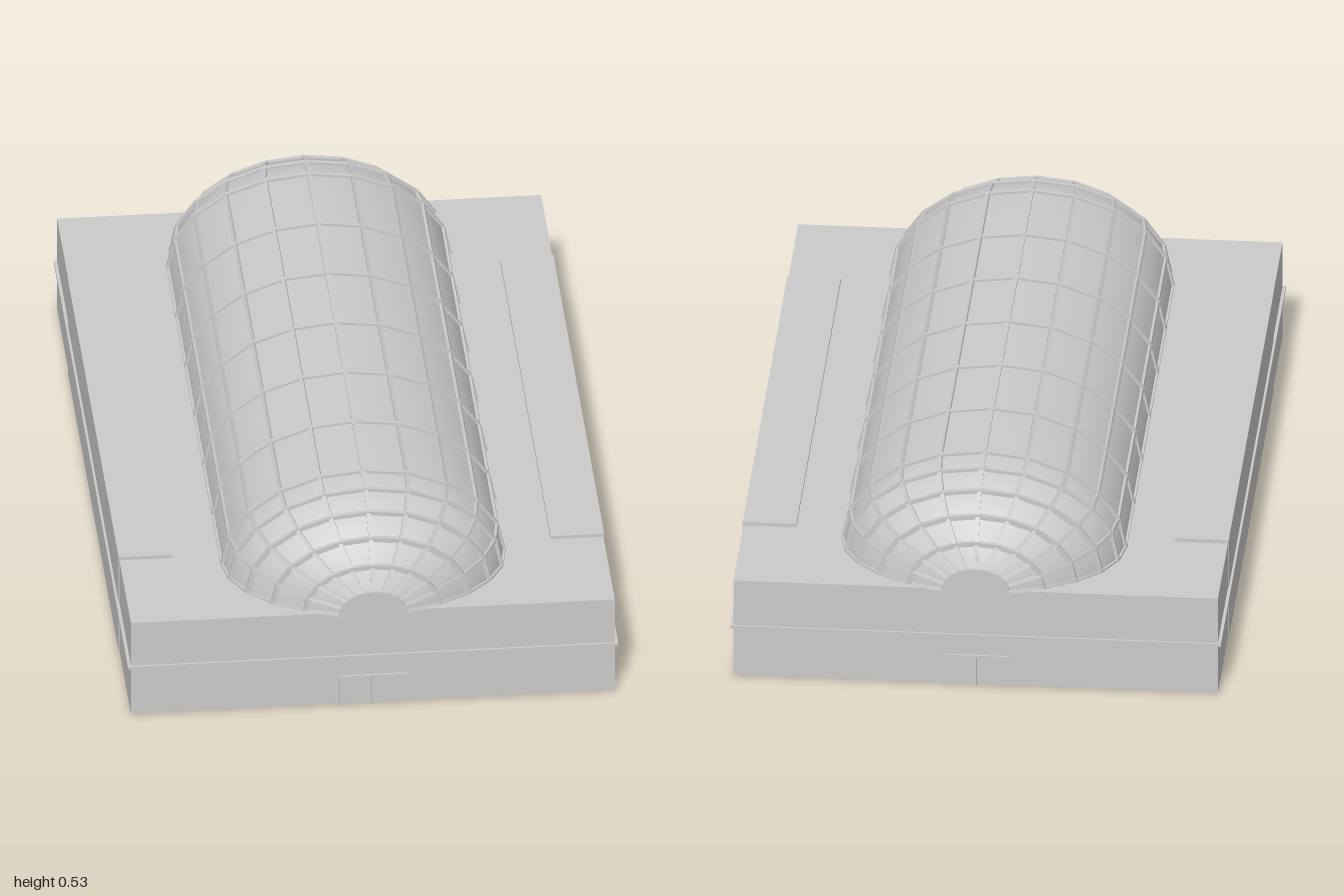
import * as THREE from 'three';
import { mergeGeometries } from 'three/addons/utils/BufferGeometryUtils.js';

const ROOF = 0.27;         // height of the flat roof
const RX = 0.357, RY = 0.254; // dome half width and rise
const BARREL = 0.728;      // half length of the straight vault
const CAP = 0.275;         // reach of the rounded ends
const SIDES = 10, CAP_STEPS = 5, CAP_ANGLE = THREE.MathUtils.degToRad(77);

const material = () => new THREE.MeshStandardMaterial({ color: 0xcccccc, side: THREE.DoubleSide });

// Stations along z: position and scale of each arched cross-section
function stations() {
  const list = [];
  const cap = (sign, k) => {
    const a = (CAP_ANGLE * k) / CAP_STEPS;
    return { z: sign * (BARREL + (CAP * 0.985 * Math.sin(a)) / Math.sin(CAP_ANGLE)), s: Math.cos(a) };
  };
  for (let k = CAP_STEPS; k > 0; k--) list.push(cap(-1, k));
  for (let k = -3; k <= 3; k++) list.push({ z: (BARREL * k) / 3, s: 1 });
  for (let k = 1; k <= CAP_STEPS; k++) list.push(cap(1, k));
  return list;
}

function archPoint({ z, s }, j) {
  const a = (Math.PI * j) / SIDES;
  return new THREE.Vector3(RX * s * Math.cos(a), ROOF + RY * s * Math.sin(a), z);
}

// Smooth skin stretched over the cross-sections
function shellGeometry(list) {
  const positions = [], index = [], row = SIDES + 1;
  list.forEach((st) => {
    for (let j = 0; j <= SIDES; j++) positions.push(...archPoint(st, j).toArray());
  });
  for (let i = 0; i < list.length - 1; i++) {
    for (let j = 0; j < SIDES; j++) {
      const a = i * row + j, b = a + 1, c = a + row, d = c + 1;
      index.push(a, b, c, b, d, c);
    }
  }
  const g = new THREE.BufferGeometry();
  g.setAttribute('position', new THREE.Float32BufferAttribute(positions, 3));
  g.setIndex(index);
  g.computeVertexNormals();
  // Normals must point away from the dome's axis
  const n = g.attributes.normal;
  const mid = Math.floor(list.length / 2) * row + SIDES / 2;
  if (n.getY(mid) < 0) {
    g.setIndex(index.reverse());
    g.computeVertexNormals();
  }
  return g;
}

// Square bar between two points, its face turned outward
function bar(a, b, t) {
  const dir = b.clone().sub(a);
  const g = new THREE.BoxGeometry(t, t, dir.length() + t * 0.5);
  const mid = a.clone().add(b).multiplyScalar(0.5);
  const z = dir.normalize();
  const out = new THREE.Vector3(mid.x, mid.y - ROOF + 0.01, 0);
  const x = out.cross(z).normalize();
  const y = z.clone().cross(x);
  g.applyMatrix4(new THREE.Matrix4().makeBasis(x, y, z).setPosition(mid));
  return g;
}

export function createModel() {
  const model = new THREE.Group();
  const add = (name, geometry, parent = model) => {
    const mesh = new THREE.Mesh(geometry, material());
    mesh.name = name;
    parent.add(mesh);
    return mesh;
  };
  const box = (name, w, h, d, x, y, z, parent) =>
    add(name, new THREE.BoxGeometry(w, h, d).translate(x, y, z), parent);

  // Hall block and the thin ledge around it
  box('hall', 1.23, ROOF - 0.003, 1.986, 0, (ROOF + 0.003) / 2, 0);
  box('ledge', 1.246, 0.008, 1.998, 0, 0.14, 0);

  // Raised side wings, slightly proud of roof and floor
  for (const side of [-1, 1]) {
    box('sideWing', 0.136, 0.279, 1.37, side * 0.549, 0.1395, 0);
  }

  // Glazed dome
  const dome = new THREE.Group();
  dome.name = 'dome';
  model.add(dome);
  const list = stations();
  add('domeShell', shellGeometry(list), dome);

  // Flat half discs closing both ends
  for (const st of [list[0], list[list.length - 1]]) {
    const disc = new THREE.CircleGeometry(1, SIDES, 0, Math.PI);
    disc.scale(RX * st.s, RY * st.s, 1);
    if (st.z < 0) disc.rotateY(Math.PI);
    disc.translate(0, ROOF, st.z);
    add('domeEnd', disc, dome);
  }

  // Arched ribs across and long ribs along the dome
  const arches = [], longRibs = [];
  list.forEach((st, i) => {
    for (let j = 0; j <= SIDES; j++) {
      const p = archPoint(st, j);
      if (j < SIDES) arches.push(bar(p, archPoint(st, j + 1), 0.012));
      if (i < list.length - 1) longRibs.push(bar(p, archPoint(list[i + 1], j), 0.01));
    }
  });
  add('archRibs', mergeGeometries(arches), dome);
  add('longRibs', mergeGeometries(longRibs), dome);

  // Double doors at both ends: frame, centre post and leaf
  for (const end of [-1, 1]) {
    const door = new THREE.Group();
    door.name = end > 0 ? 'frontDoor' : 'backDoor';
    model.add(door);
    const z = end * 0.994;
    box('doorLeaf', 0.16, 0.08, 0.004, 0, 0.042, end * 0.992, door);
    for (const x of [-0.083, 0, 0.083]) box('doorPost', 0.006, 0.084, 0.01, x, 0.042, z, door);
    box('doorLintel', 0.172, 0.006, 0.01, 0, 0.082, z, door);
  }

  return model;
}
